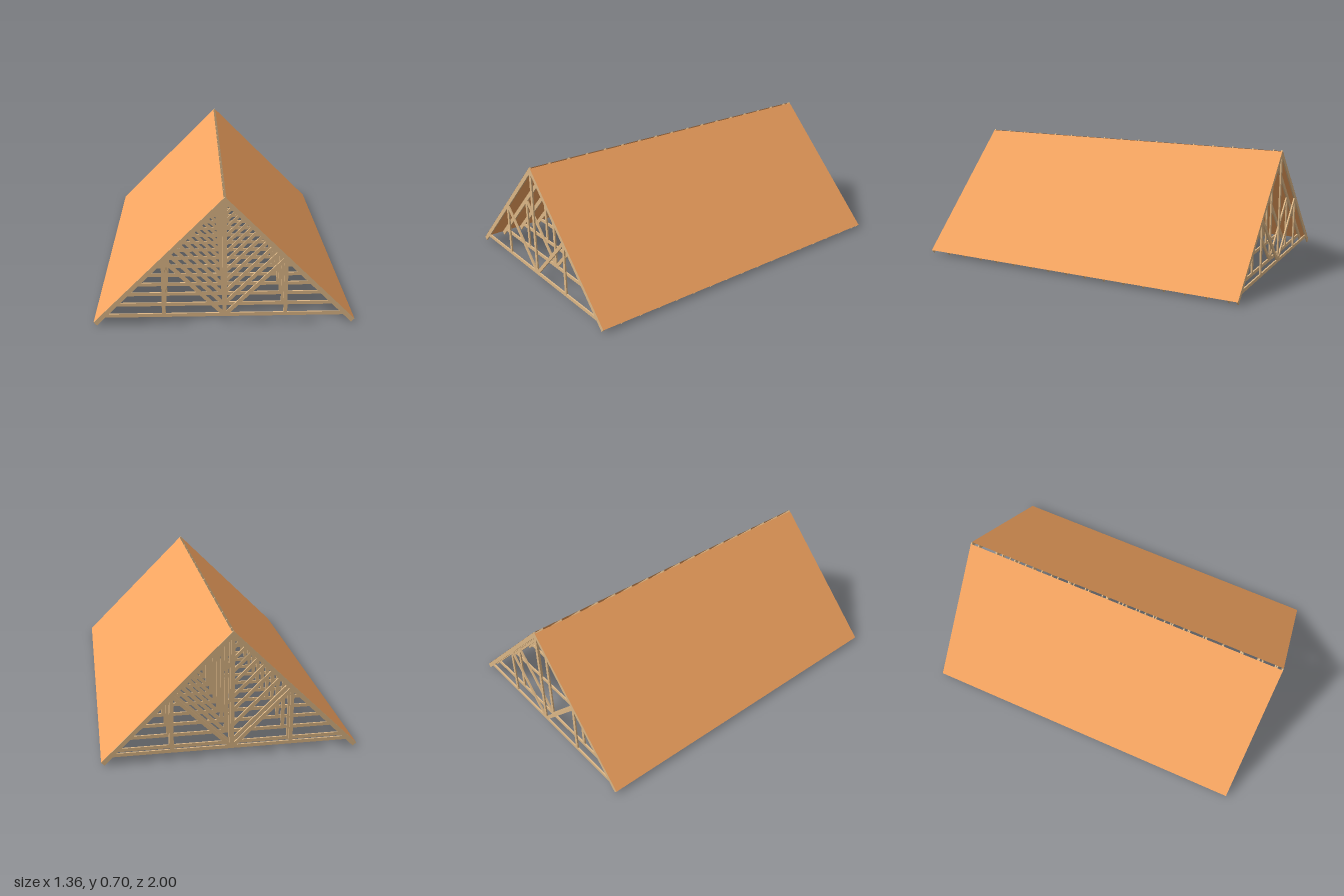
import * as THREE from 'three';

const LENGTH = 2, SPACING = 0.1215, THICK = 0.008;
const RIDGE = 0.6975;            // outer height of the 45 degree rafters
const INNER = RIDGE - 0.035;     // underside height of the rafters at the ridge
const EAVE = 0.68;
const CHORD_BOTTOM = 0.044, CHORD_TOP = 0.063;

const wood = new THREE.MeshStandardMaterial({ color: 0xdeb887 });
const sheathing = new THREE.MeshStandardMaterial({ color: 0xf4a460, side: THREE.DoubleSide });

// Flat board cut to the given outline, centred on its thickness
function board(points) {
  const shape = new THREE.Shape(points.map(([x, y]) => new THREE.Vector2(x, y)));
  const geometry = new THREE.ExtrudeGeometry(shape, { depth: THICK, bevelEnabled: false });
  return geometry.translate(0, 0, -THICK / 2);
}

const mirrored = (points) => points.map(([x, y]) => [-x, y]);

// Outlines of the boards on one half of the truss
const postIn = 0.305, postOut = 0.325, king = 0.0105;
const strutLow = 0.036, strutHigh = 0.0645; // strut edges: y = x + offset
const meetLow = (INNER - strutLow) / 2, meetHigh = (INNER - strutHigh) / 2;
const halfParts = {
  Rafter: [[0, INNER], [EAVE - 0.0175, 0], [EAVE, RIDGE - EAVE], [0, RIDGE]],
  Post: [
    [postIn, CHORD_TOP], [postOut, CHORD_TOP], [postOut, INNER - postOut],
    [meetLow, meetLow + strutLow], [postIn, postIn + strutLow],
  ],
  Strut: [
    [king, CHORD_TOP], [CHORD_TOP - strutLow, CHORD_TOP], [meetLow, meetLow + strutLow],
    [meetHigh, meetHigh + strutHigh], [king, king + strutHigh],
  ],
};

// Shared geometry for every truss
const parts = {
  bottomChord: board([
    [CHORD_BOTTOM - INNER, CHORD_BOTTOM], [INNER - CHORD_BOTTOM, CHORD_BOTTOM],
    [INNER - CHORD_TOP, CHORD_TOP], [CHORD_TOP - INNER, CHORD_TOP],
  ]),
  kingPost: board([
    [-king, CHORD_TOP], [king, CHORD_TOP], [king, INNER - king], [0, INNER], [-king, INNER - king],
  ]),
};
for (const [name, points] of Object.entries(halfParts)) {
  parts['left' + name] = board(points);
  parts['right' + name] = board(mirrored(points));
}

function createTruss() {
  const truss = new THREE.Group();
  truss.name = 'truss';
  for (const [name, geometry] of Object.entries(parts)) {
    const mesh = new THREE.Mesh(geometry, wood);
    mesh.name = name;
    truss.add(mesh);
  }
  return truss;
}

// Thin sloping sheet resting on the rafters, with a narrow gap at the ridge
function createRoofSheet(side) {
  const gap = 0.007, lift = 0.0006;
  const width = (EAVE - gap) * Math.SQRT2;
  const geometry = new THREE.PlaneGeometry(width, LENGTH).rotateX(-Math.PI / 2);
  const sheet = new THREE.Mesh(geometry, sheathing);
  const middle = (EAVE + gap) / 2;
  sheet.rotation.z = -side * Math.PI / 4;
  sheet.position.set(side * middle, RIDGE - middle + lift, 0);
  sheet.name = side > 0 ? 'leftRoofSheet' : 'rightRoofSheet';
  return sheet;
}

export function createModel() {
  const model = new THREE.Group();
  model.name = 'roof';

  // Evenly spaced trusses from the front, plus one closing the back
  const front = LENGTH / 2 - THICK / 2;
  const positions = Array.from({ length: 17 }, (_, i) => front - i * SPACING);
  positions.push(-front);
  for (const z of positions) {
    const truss = createTruss();
    truss.position.z = z;
    model.add(truss);
  }

  model.add(createRoofSheet(1), createRoofSheet(-1));
  return model;
}
